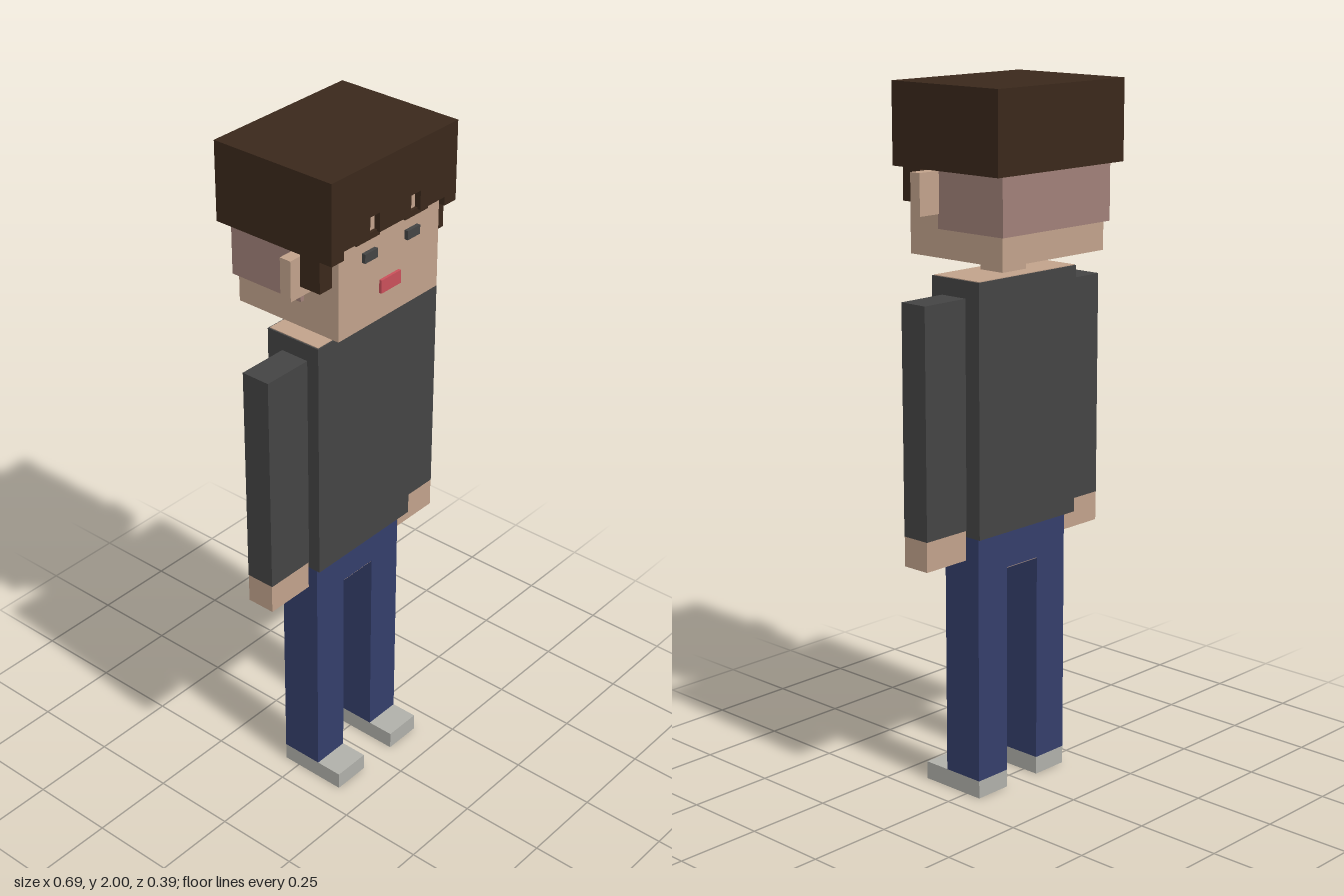
import * as THREE from 'three';

const COLORS = {
  skin: 0xc1a28b, hair: 0x3a281b, shaved: 0xa08078, shirt: 0x444444,
  jeans: 0x343e6b, shoe: 0xb0b0aa, eye: 0x444444, mouth: 0xc9505a,
};
const materials = {};
for (const key in COLORS) {
  materials[key] = new THREE.MeshStandardMaterial({ color: COLORS[key], flatShading: true });
}

export function createModel() {
  const model = new THREE.Group();

  // Box given by its [min, max] extent on each axis
  function block(name, color, [x0, x1], [y0, y1], [z0, z1]) {
    const mesh = new THREE.Mesh(new THREE.BoxGeometry(x1 - x0, y1 - y0, z1 - z0), materials[color]);
    mesh.name = name;
    mesh.position.set((x0 + x1) / 2, (y0 + y1) / 2, (z0 + z1) / 2);
    model.add(mesh);
  }
  // The same box on the left (+x) and mirrored to the right
  function pair(name, color, [x0, x1], y, z) {
    block(name + 'Left', color, [x0, x1], y, z);
    block(name + 'Right', color, [-x1, -x0], y, z);
  }

  // Head and face
  block('head', 'skin', [-0.2, 0.2], [1.535, 1.9], [-0.165, 0.176]);
  block('shavedBack', 'shaved', [-0.212, 0.212], [1.615, 1.78], [-0.177, 0.06]);
  pair('ear', 'skin', [0.19, 0.283], [1.655, 1.77], [0.055, 0.09]);
  pair('eye', 'eye', [0.06, 0.11], [1.727, 1.753], [0.17, 0.187]);
  pair('eyebrow', 'hair', [0.05, 0.142], [1.787, 1.805], [0.17, 0.185]);
  block('mouth', 'mouth', [-0.04, 0.038], [1.612, 1.65], [0.17, 0.184]);

  // Hair cap with sides, back, notched fringe and sidelocks
  block('hairTop', 'hair', [-0.247, 0.247], [1.855, 2], [-0.194, 0.194]);
  pair('hairSide', 'hair', [0.2, 0.247], [1.775, 1.855], [-0.194, 0.194]);
  block('hairBack', 'hair', [-0.2, 0.2], [1.775, 1.855], [-0.194, -0.165]);
  block('fringeMiddle', 'hair', [-0.062, 0.062], [1.8, 1.855], [0.17, 0.194]);
  pair('fringeOuter', 'hair', [0.1, 0.2], [1.8, 1.855], [0.17, 0.194]);
  pair('sidelock', 'hair', [0.198, 0.247], [1.685, 1.775], [0.09, 0.155]);

  // Neck and upper body
  block('neck', 'skin', [-0.047, 0.046], [1.47, 1.54], [-0.02, 0.063]);
  block('torso', 'shirt', [-0.194, 0.194], [0.772, 1.483], [-0.073, 0.102]);
  block('shoulderSkin', 'skin', [-0.19, 0.19], [1.48, 1.485], [-0.069, 0.098]);
  pair('sleeve', 'shirt', [0.194, 0.346], [0.79, 1.435], [-0.023, 0.064]);
  pair('hand', 'skin', [0.195, 0.346], [0.705, 0.79], [-0.022, 0.063]);

  // Lower body
  block('hips', 'jeans', [-0.062, 0.062], [0.66, 0.772], [-0.05, 0.077]);
  block('crotch', 'skin', [-0.061, 0.061], [0.658, 0.66], [-0.049, 0.076]);
  pair('leg', 'jeans', [0.062, 0.176], [0.052, 0.772], [-0.05, 0.077]);
  pair('shoe', 'shoe', [0.062, 0.176], [0, 0.052], [-0.05, 0.158]);

  return model;
}
